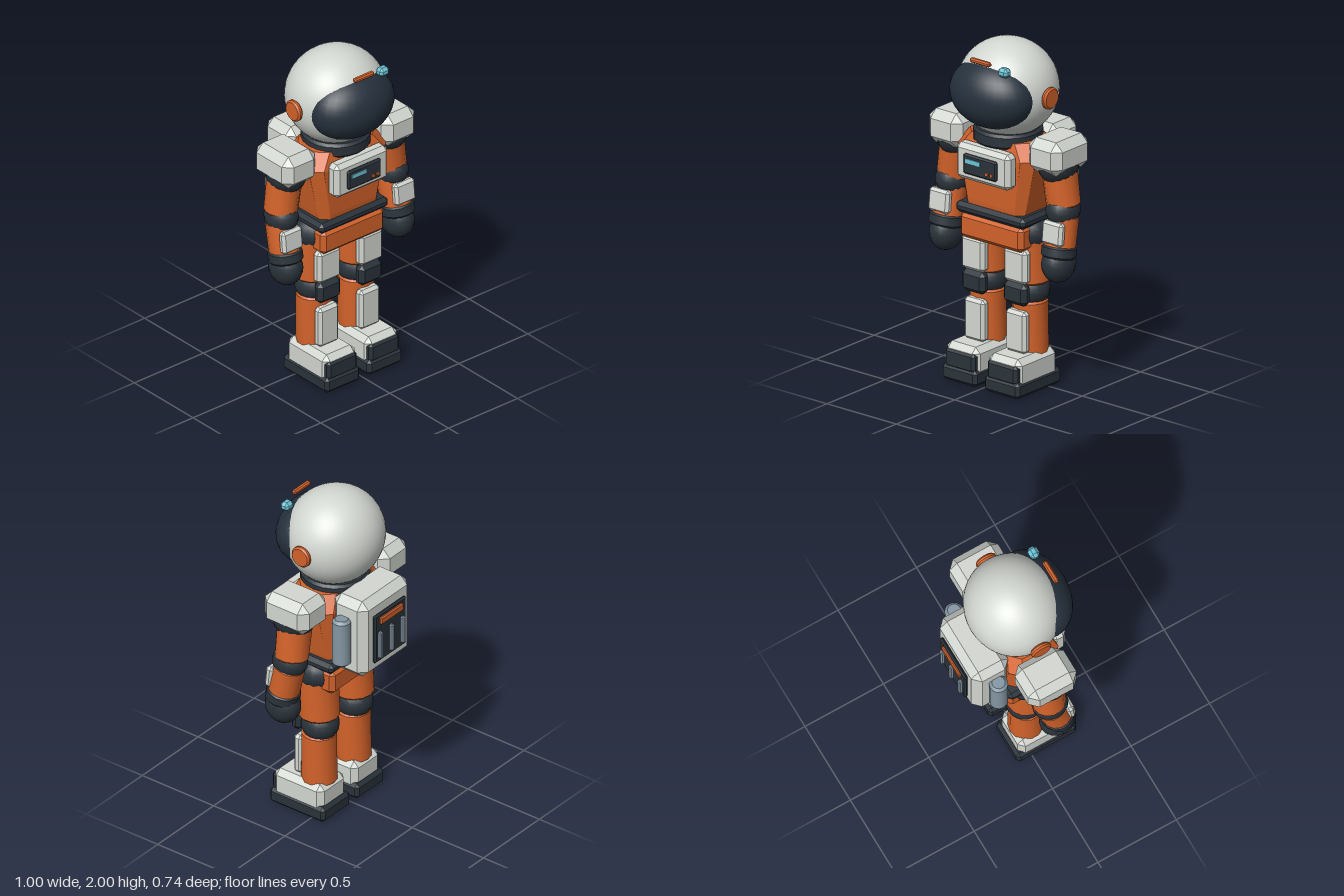
import * as THREE from 'three';
import { ConvexGeometry } from 'three/addons/geometries/ConvexGeometry.js';
import { toCreasedNormals } from 'three/addons/utils/BufferGeometryUtils.js';

const mat = (name, hex) => {
  const m = new THREE.MeshStandardMaterial({ color: hex });
  m.name = name;
  return m;
};

export function createModel() {
  const shell = mat('shell grey', 0xd3d7d1);
  const orange = mat('suit orange', 0xd2622a);
  const dark = mat('rubber dark', 0x2a333b);
  const glass = mat('visor dark', 0x26313d);
  const steel = mat('tank steel', 0x8496a3);
  const cyan = mat('lamp cyan', 0x6cc4d6);

  const model = new THREE.Group();
  model.name = 'spaceSuit';
  const V = (x, y, z) => new THREE.Vector3(x, y, z);

  function add(name, geo, material, pos, rot = [0, 0, 0], parent = model) {
    const m = new THREE.Mesh(geo, material);
    m.name = name;
    m.position.set(...pos);
    m.rotation.set(...rot);
    parent.add(m);
    return m;
  }

  // Box with every edge and corner cut flat
  function chamferBox(w, h, d, c) {
    const pts = [], a = w / 2, b = h / 2, e = d / 2;
    for (const i of [-1, 1]) for (const j of [-1, 1]) for (const k of [-1, 1]) {
      pts.push(V(i * a, j * (b - c), k * (e - c)));
      pts.push(V(i * (a - c), j * b, k * (e - c)));
      pts.push(V(i * (a - c), j * (b - c), k * e));
    }
    return new ConvexGeometry(pts);
  }

  // Upright cylinder with cut rims
  function chamferCyl(r0, r1, h, c, sides) {
    const p = [[0, -h / 2], [r0 - c, -h / 2], [r0, -h / 2 + c], [r1, h / 2 - c], [r1 - c, h / 2], [0, h / 2]];
    const g = new THREE.LatheGeometry(p.map(q => new THREE.Vector2(...q)), sides);
    return toCreasedNormals(g, 0.6);
  }

  function ellipsoid(rx, ry, rz, ws = 16, hs = 12) {
    return new THREE.SphereGeometry(1, ws, hs).scale(rx, ry, rz);
  }

  // Limb segment running between two points
  function limb(name, a, b, rBottom, rTop, material, parent) {
    const d = a.clone().sub(b);
    const m = add(name, chamferCyl(rBottom, rTop, d.length(), 0.012, 14), material,
      a.clone().add(b).multiplyScalar(0.5).toArray(), [0, 0, 0], parent);
    m.quaternion.setFromUnitVectors(V(0, 1, 0), d.normalize());
  }

  // Helmet
  add('helmet', ellipsoid(0.292, 0.28, 0.275, 40, 28), shell, [0, 1.72, 0.04]);
  add('visor', ellipsoid(0.27, 0.2, 0.195, 32, 20), glass, [0, 1.715, 0.17]);
  add('browTab', chamferBox(0.142, 0.027, 0.03, 0.008), orange, [0, 1.924, 0.277]);
  add('headLamp', chamferBox(0.068, 0.054, 0.058, 0.017), cyan, [0.155, 1.895, 0.257]);
  add('collar', chamferCyl(0.195, 0.195, 0.085, 0.015, 20), dark, [0, 1.45, 0.04]);

  // Torso: tapered, cut-corner sections
  const torso = [];
  for (const [y, w, d, c] of [[1.02, 0.205, 0.145, 0.04], [1.06, 0.215, 0.15, 0.05],
    [1.36, 0.28, 0.16, 0.06], [1.45, 0.215, 0.13, 0.06]]) {
    for (const i of [-1, 1]) for (const k of [-1, 1]) {
      torso.push(V(i * w, y, k * (d - c)), V(i * (w - c), y, k * d));
    }
  }
  add('torso', new ConvexGeometry(torso), orange, [0, 0, 0.04]);
  add('belt', chamferBox(0.5, 0.065, 0.34, 0.022), dark, [0, 1.0, 0.04]);
  add('pelvis', chamferBox(0.455, 0.15, 0.32, 0.025), orange, [0, 0.897, 0.04]);

  // Chest control unit
  add('chestUnit', chamferBox(0.385, 0.21, 0.09, 0.025), shell, [0, 1.305, 0.227]);
  add('chestScreen', chamferBox(0.24, 0.118, 0.025, 0.01), dark, [0, 1.305, 0.278]);
  add('screenBar', new THREE.BoxGeometry(0.105, 0.025, 0.008), cyan, [-0.045, 1.327, 0.292]);
  for (const x of [0.055, 0.09]) {
    add('chestButton', new THREE.CylinderGeometry(0.011, 0.011, 0.009, 10), orange, [x, 1.28, 0.293], [Math.PI / 2, 0, 0]);
  }

  // Life support backpack
  add('backpack', chamferBox(0.434, 0.49, 0.235, 0.045), shell, [0, 1.24, -0.212]);
  add('backPanel', chamferBox(0.28, 0.31, 0.022, 0.009), dark, [0, 1.237, -0.34]);
  add('backBar', chamferBox(0.2, 0.046, 0.022, 0.007), orange, [0, 1.347, -0.354]);
  for (const x of [-0.1, 0, 0.1]) {
    add('backVent', chamferBox(0.028, 0.17, 0.026, 0.007), steel, [x, 1.195, -0.357]);
  }

  for (const s of [-1, 1]) {
    const side = s > 0 ? 'left' : 'right';
    const P = (x, y, z) => [s * x, y, z];
    const arm = new THREE.Group(), leg = new THREE.Group();
    arm.name = side + 'Arm';
    leg.name = side + 'Leg';
    model.add(arm, leg);

    add(side + 'EarCap', chamferCyl(0.063, 0.063, 0.032, 0.01, 18), orange, P(0.302, 1.717, 0.04), [0, 0, Math.PI / 2]);
    add(side + 'Tank', chamferCyl(0.053, 0.053, 0.296, 0.016, 16), steel, P(0.245, 1.228, -0.197));

    // Arm
    add('shoulderPad', chamferBox(0.24, 0.2, 0.31, 0.048), shell, P(0.36, 1.415, 0.037), [0, 0, 0], arm);
    add('shoulderJoint', ellipsoid(0.115, 0.125, 0.13), dark, P(0.365, 1.36, 0.045), [0, 0, 0], arm);
    limb('upperArm', V(s * 0.365, 1.32, 0.035), V(s * 0.396, 1.105, 0.035), 0.096, 0.1, orange, arm);
    add('elbow', ellipsoid(0.093, 0.095, 0.105), dark, P(0.398, 1.085, 0.043), [0, 0, 0], arm);
    limb('forearm', V(s * 0.4, 1.06, 0.04), V(s * 0.405, 0.85, 0.088), 0.09, 0.088, orange, arm);
    add('forearmPad', chamferBox(0.145, 0.135, 0.05, 0.016), shell, P(0.408, 0.975, 0.138), [-0.1, 0, 0], arm);
    limb('cuff', V(s * 0.404, 0.89, 0.08), V(s * 0.406, 0.82, 0.094), 0.098, 0.098, dark, arm);
    add('glove', ellipsoid(0.09, 0.11, 0.108), dark, P(0.404, 0.785, 0.088), [0, 0, 0], arm);

    // Leg
    add('hipJoint', ellipsoid(0.128, 0.11, 0.125), dark, P(0.152, 0.91, 0.035), [0, 0, 0], leg);
    limb('thigh', V(s * 0.153, 0.88, 0.035), V(s * 0.153, 0.615, 0.03), 0.117, 0.113, orange, leg);
    add('thighPad', chamferBox(0.165, 0.2, 0.065, 0.02), shell, P(0.152, 0.73, 0.143), [0, 0, 0], leg);
    add('knee', ellipsoid(0.106, 0.1, 0.11), dark, P(0.152, 0.56, 0.025), [0, 0, 0], leg);
    add('kneePad', chamferBox(0.165, 0.13, 0.07, 0.025), dark, P(0.15, 0.565, 0.145), [0, 0, 0], leg);
    limb('shin', V(s * 0.152, 0.51, 0.032), V(s * 0.152, 0.19, 0.032), 0.103, 0.1, orange, leg);
    add('shinPad', chamferBox(0.145, 0.245, 0.06, 0.018), shell, P(0.149, 0.34, 0.136), [0, 0, 0], leg);
    add('boot', chamferBox(0.236, 0.17, 0.345, 0.033), shell, P(0.152, 0.135, 0.1), [0, 0, 0], leg);
    add('toeCap', chamferBox(0.215, 0.115, 0.07, 0.018), dark, P(0.152, 0.132, 0.25), [0, 0, 0], leg);
    add('sole', chamferBox(0.25, 0.095, 0.385, 0.02), dark, P(0.153, 0.0475, 0.098), [0, 0, 0], leg);
  }
  return model;
}
